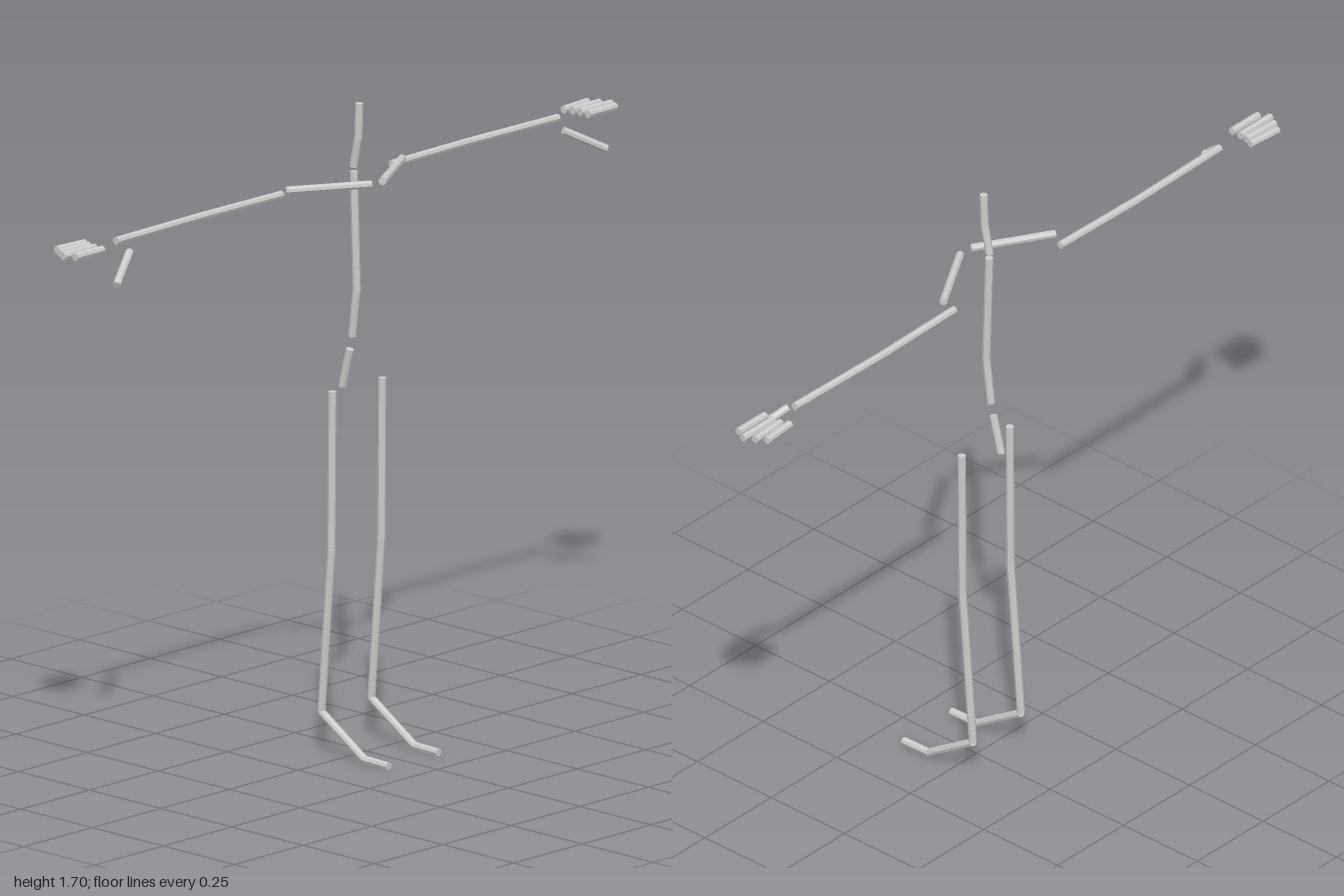
import * as THREE from 'three';

const RADIUS = 0.0105;
const material = new THREE.MeshStandardMaterial({ color: 0xcccccc, flatShading: true });

// One straight rod between two points
function rod(name, a, b) {
  const start = new THREE.Vector3(...a);
  const dir = new THREE.Vector3(...b).sub(start);
  const mesh = new THREE.Mesh(new THREE.CylinderGeometry(RADIUS, RADIUS, dir.length(), 8), material);
  mesh.name = name;
  mesh.position.copy(start).addScaledVector(dir, 0.5);
  mesh.quaternion.setFromUnitVectors(new THREE.Vector3(0, 1, 0), dir.normalize());
  return mesh;
}

// Rods joined end to end, one name per rod
function chain(group, names, points) {
  names.forEach((name, i) => group.add(rod(name, points[i], points[i + 1])));
}

// Arm and leg of one side; s is +1 for left, -1 for right
function limbs(s) {
  const side = s > 0 ? 'left' : 'right';
  const m = (points) => points.map(([x, y, z]) => [x * s, y, z]);

  const arm = new THREE.Group();
  arm.name = side + 'Arm';
  chain(arm, ['collarbone'], m([[0.02, 1.5, 0.037], [0.212, 1.5, -0.078]]));
  chain(arm, ['upperArm', 'forearm'], m([[0.2, 1.482, -0.105], [0.485, 1.482, -0.11], [0.806, 1.482, -0.104]]));
  chain(arm, ['thumb'], m([[0.79, 1.458, -0.07], [0.893, 1.4, -0.017]]));

  // Fingers: name, inner x, outer x, inner z, outer z
  const fingers = [
    ['indexFinger', 0.884, 0.985, -0.075, -0.075],
    ['middleFinger', 0.884, 1.0, -0.103, -0.103],
    ['ringFinger', 0.882, 0.985, -0.126, -0.13],
    ['littleFinger', 0.872, 0.968, -0.148, -0.156],
  ];
  for (const [name, x0, x1, z0, z1] of fingers) {
    chain(arm, [name], m([[x0, 1.481, z0], [x1, 1.481, z1]]));
  }

  const leg = new THREE.Group();
  leg.name = side + 'Leg';
  chain(leg, ['thigh', 'shin', 'foot', 'toes'], m([
    [0.091, 0.957, -0.032], [0.091, 0.54, -0.035], [0.091, 0.108, -0.07],
    [0.091, 0.0125, 0.08], [0.091, 0.0105, 0.166],
  ]));
  return [arm, leg];
}

export function createModel() {
  const model = new THREE.Group();
  model.name = 'stickSkeleton';

  // Pelvis, spine, neck and head along the middle
  const trunk = new THREE.Group();
  trunk.name = 'trunk';
  chain(trunk, ['pelvis'], [[0, 0.943, -0.084], [0, 1.045, -0.058]]);
  chain(trunk, ['lowerSpine', 'upperSpine'], [[0, 1.08, -0.05], [0, 1.205, -0.034], [0, 1.515, -0.044]]);
  chain(trunk, ['neck', 'head'], [[0, 1.527, -0.045], [0, 1.61, -0.028], [0, 1.697, -0.025]]);
  model.add(trunk);

  for (const s of [1, -1]) model.add(...limbs(s));
  return model;
}
